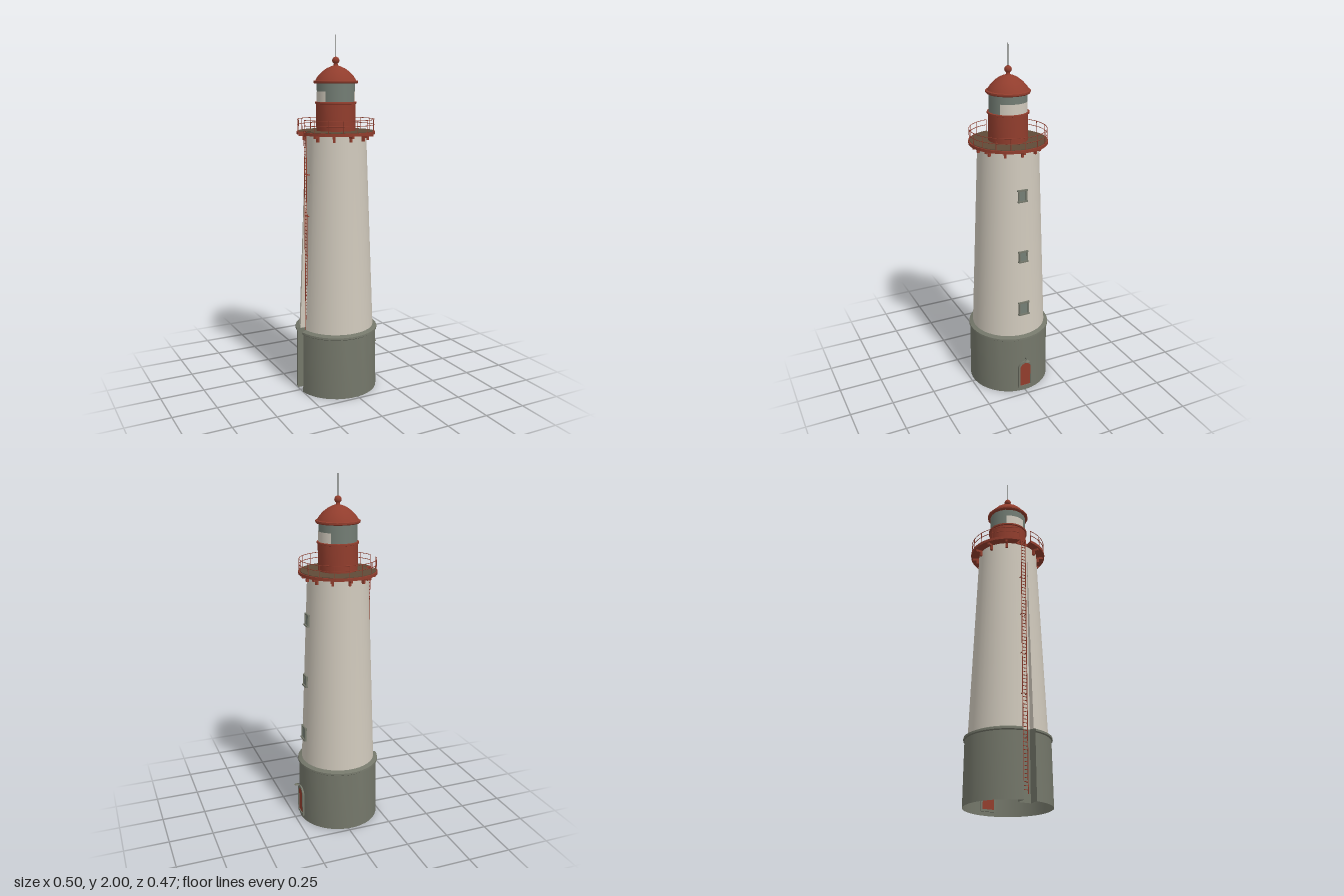
import * as THREE from 'three';
import { toCreasedNormals } from 'three/addons/utils/BufferGeometryUtils.js';

const material = (name, color, side = THREE.FrontSide) => {
  const m = new THREE.MeshStandardMaterial({ color, side });
  m.name = name;
  return m;
};

const SLOT = 0.036;   // half width of the ladder slot
const BACK = -0.17;   // depth of the slot's back wall

// Circle outline with the ladder slot cut out on the -x side
function slottedRing(r, slot = SLOT, back = BACK, n = 36) {
  const gap = Math.asin(slot / r), pts = [];
  for (let i = 0; i <= n; i++) {
    const a = -Math.PI + gap + (2 * Math.PI - 2 * gap) * i / n;
    pts.push([r * Math.cos(a), r * Math.sin(a)]);
  }
  const bx = Math.max(back, -Math.sqrt(r * r - slot * slot));
  pts.push([bx, slot], [bx, -slot]);
  return pts;
}

// Skin through slotted rings given as [radius, height]
function slottedWall(profile) {
  const pos = [];
  const rings = profile.map(([r, y]) => slottedRing(r).map(([x, z]) => [x, y, z]));
  for (let k = 0; k + 1 < rings.length; k++) {
    const lo = rings[k], hi = rings[k + 1];
    for (let i = 0; i < lo.length; i++) {
      const j = (i + 1) % lo.length;
      pos.push(...lo[i], ...hi[i], ...hi[j], ...lo[i], ...hi[j], ...lo[j]);
    }
  }
  const g = new THREE.BufferGeometry();
  g.setAttribute('position', new THREE.Float32BufferAttribute(pos, 3));
  return toCreasedNormals(g, 0.5);
}

// Flat plate with the slot cut out, from y upwards
function slottedPlate(r, y, h, slot, back) {
  const shape = new THREE.Shape(slottedRing(r, slot, back).map(p => new THREE.Vector2(...p)));
  return new THREE.ExtrudeGeometry(shape, { depth: h, bevelEnabled: false })
    .rotateX(-Math.PI / 2).translate(0, y, 0);
}

// Arched outline in the door plane
function arch(w, y0, y1) {
  const s = new THREE.Shape();
  s.moveTo(-w, y0);
  s.lineTo(w, y0);
  s.lineTo(w, y1 - w);
  s.absarc(0, y1 - w, w, 0, Math.PI, false);
  s.closePath();
  return s;
}

export function createModel() {
  const stone = material('grey stone', 0x74776a, THREE.DoubleSide);
  const white = material('off-white plaster', 0xd0c9bc, THREE.DoubleSide);
  const red = material('red paint', 0x913d2d);
  const deck = material('brown deck', 0x5f4a37);
  const glass = material('grey green glass', 0x737d74);
  const dark = material('dark metal', 0x4a4c45);

  const model = new THREE.Group();
  model.name = 'lighthouse';
  const axis = new THREE.Group();
  axis.name = 'tower axis';
  axis.position.x = -0.02;
  model.add(axis);

  const add = (name, geo, mat, parent = axis) => {
    const m = new THREE.Mesh(geo, mat);
    m.name = name;
    parent.add(m);
    return m;
  };
  const box = (name, size, p, mat, parent) => {
    const m = add(name, new THREE.BoxGeometry(...size), mat, parent);
    m.position.set(...p);
    return m;
  };
  const group = (name) => {
    const g = new THREE.Group();
    g.name = name;
    axis.add(g);
    return g;
  };
  const lathe = (pts, n = 20) => toCreasedNormals(
    new THREE.LatheGeometry(pts.map(p => new THREE.Vector2(...p)), n), 0.5);

  // Plinth and tapered shaft
  add('plinth', slottedWall([[0.233, 0], [0.229, 0.345], [0.236, 0.35], [0.235, 0.361], [0.208, 0.373]]), stone);
  add('shaft', slottedWall([[0.213, 0.36], [0.1695, 1.44], [0.169, 1.47]]), white);

  // Gallery deck with brackets below
  add('galleryPlate', slottedPlate(0.217, 1.468, 0.016, SLOT, BACK), red);
  add('galleryDeck', slottedPlate(0.209, 1.484, 0.003, SLOT + 0.002, BACK + 0.003), deck);
  const brackets = group('galleryBrackets');
  for (let i = 0; i < 12; i++) {
    if (i === 6) continue;
    const arm = new THREE.Group();
    arm.name = 'bracket';
    arm.rotation.y = i * Math.PI / 6;
    brackets.add(arm);
    box('bracketBeam', [0.045, 0.014, 0.012], [0.185, 1.462, 0], red, arm);
    box('bracketFoot', [0.018, 0.026, 0.012], [0.175, 1.447, 0], red, arm);
  }

  // Railing, open at the ladder
  const railing = group('railing');
  const gap = 0.175, sweep = 2 * Math.PI - 2 * gap;
  for (const y of [1.52, 1.549]) {
    const g = new THREE.TorusGeometry(0.212, 0.0018, 5, 48, sweep)
      .rotateZ(-Math.PI + gap).rotateX(Math.PI / 2);
    add('rail', g, red, railing).position.y = y;
  }
  for (let i = 0; i <= 16; i++) {
    const a = -Math.PI + gap + sweep * i / 16;
    add('railPost', new THREE.CylinderGeometry(0.0018, 0.0018, 0.066, 5), red, railing)
      .position.set(0.212 * Math.cos(a), 1.517, 0.212 * Math.sin(a));
  }

  // Lantern room, dome and finial
  add('lanternBase', lathe([[0.109, 1.485], [0.109, 1.632], [0.115, 1.634], [0.115, 1.643], [0.1, 1.645]]), red);
  add('lanternGlass', new THREE.CylinderGeometry(0.105, 0.105, 0.105, 20, 1, true), glass).position.y = 1.694;
  for (const [mid, arc] of [[Math.PI / 2, 1.7], [-Math.PI / 2, 1.1]]) {
    const g = new THREE.CylinderGeometry(0.1065, 0.1065, 0.055, 8, 1, true, mid - arc / 2, arc);
    add('litPane', g, white).position.y = 1.672;
  }
  add('dome', lathe([[0, 1.742], [0.118, 1.742], [0.122, 1.747], [0.122, 1.756], [0.112, 1.759], [0.1, 1.779],
    [0.078, 1.803], [0.052, 1.822], [0.028, 1.833], [0.012, 1.838], [0.01, 1.85]], 16), red);
  add('finialBall', new THREE.SphereGeometry(0.02, 12, 8), red).position.y = 1.865;
  add('mast', new THREE.CylinderGeometry(0.0015, 0.002, 0.12, 6), dark).position.y = 1.94;

  // Ladder in the slot
  const ladder = group('ladder');
  for (const z of [-0.013, 0.013]) {
    box('ladderRail', [0.004, 1.45, 0.003], [-0.187, 0.765, z], red, ladder);
    for (let y = 0.1; y < 1.5; y += 0.23) {
      box('ladderBracket', [0.022, 0.004, 0.003], [-0.178, y, z], red, ladder);
    }
  }
  for (let y = 0.06; y < 1.49; y += 0.02) {
    box('rung', [0.003, 0.003, 0.026], [-0.187, y, 0], red, ladder);
  }

  // Arched door on the +x side with a lamp above
  const door = group('door');
  const frameShape = arch(0.044, 0.022, 0.202);
  frameShape.holes.push(arch(0.034, 0.034, 0.188));
  const place = (g, x) => g.rotateY(Math.PI / 2).translate(x, 0, 0);
  add('doorFrame', place(new THREE.ExtrudeGeometry(frameShape, { depth: 0.016, bevelEnabled: false, curveSegments: 8 }), 0.222), stone, door);
  add('doorLeaf', place(new THREE.ExtrudeGeometry(arch(0.035, 0.033, 0.189), { depth: 0.009, bevelEnabled: false, curveSegments: 8 }), 0.2245), red, door);
  box('lampArm', [0.034, 0.003, 0.003], [0.243, 0.22, 0], dark, door);
  add('lampShade', new THREE.CylinderGeometry(0.005, 0.014, 0.007, 14), stone, door).position.set(0.258, 0.218, 0);

  // Three framed windows above the door
  for (const [y, h, w] of [[0.543, 0.08, 0.031], [0.863, 0.066, 0.026], [1.218, 0.07, 0.026]]) {
    const win = group('window');
    win.position.set(0.213 - (y - 0.36) * 0.0403, y, 0);
    win.rotation.z = 0.04;
    box('pane', [0.008, h - 0.012, 2 * w - 0.014], [0, 0, 0], glass, win);
    box('lintel', [0.014, 0.008, 2 * w + 0.006], [0.002, h / 2 - 0.004, 0], stone, win);
    box('sill', [0.018, 0.008, 2 * w + 0.006], [0.003, 0.004 - h / 2, 0], stone, win);
    for (const s of [-1, 1]) {
      box('jamb', [0.014, h - 0.012, 0.008], [0.001, 0, s * (w - 0.004)], stone, win);
    }
  }
  return model;
}
